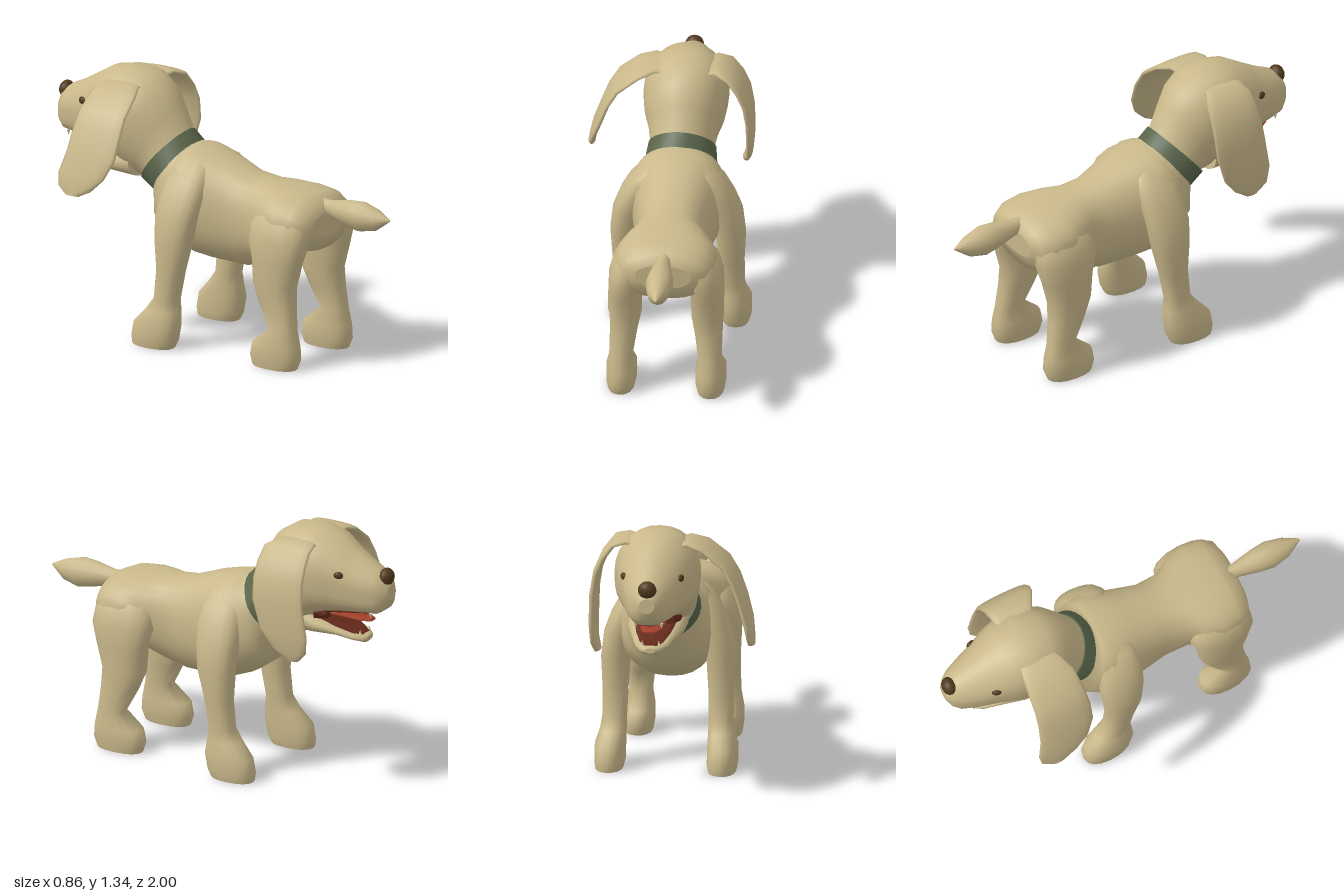
import * as THREE from 'three';

const MID = 0.065; // x of the body's mirror plane
const mat = (name, color) => Object.assign(new THREE.MeshStandardMaterial({ color }), { name });
const V = (x, y, z) => new THREE.Vector3(x, y, z);

// Skin over rounded rings {c, u, v, top, bottom}; the rings advance along u x v.
// top and bottom are the roundness powers of the two halves (2 = ellipse, more = boxier)
function loft(rings, sides = 20) {
  const pos = [], idx = [];
  const pow = (t, n) => Math.sign(t) * Math.pow(Math.abs(t), 2 / n);
  const addRing = ({ c, u, v, top = 2.3, bottom = top }) => {
    for (let i = 0; i < sides; i++) {
      const a = i / sides * Math.PI * 2, n = i * 2 < sides ? top : bottom;
      const p = c.clone().addScaledVector(u, pow(Math.cos(a), n)).addScaledVector(v, pow(Math.sin(a), n));
      pos.push(p.x, p.y, p.z);
    }
  };
  rings.forEach(addRing);
  for (let r = 0; r < rings.length - 1; r++) {
    for (let i = 0; i < sides; i++) {
      const a = r * sides + i, b = r * sides + (i + 1) % sides;
      idx.push(a, b, b + sides, a, b + sides, a + sides);
    }
  }
  // flat end caps
  [rings[0], rings[rings.length - 1]].forEach((ring, end) => {
    const s = pos.length / 3;
    addRing(ring);
    pos.push(ring.c.x, ring.c.y, ring.c.z);
    for (let i = 0; i < sides; i++) {
      const a = s + i, b = s + (i + 1) % sides;
      if (end) idx.push(a, b, s + sides); else idx.push(b, a, s + sides);
    }
  });
  const g = new THREE.BufferGeometry();
  g.setAttribute('position', new THREE.Float32BufferAttribute(pos, 3));
  g.setIndex(idx);
  g.computeVertexNormals();
  return g;
}

// Rings along -z: [zTop, yTop, zBottom, yBottom, halfWidth, topPower, bottomPower]
const spine = rows => rows.map(([zt, yt, zb, yb, w, top, bottom]) => ({
  c: V(MID, (yt + yb) / 2, (zt + zb) / 2),
  u: V(-w, 0, 0),
  v: V(0, (yt - yb) / 2, (zt - zb) / 2),
  top, bottom,
}));

// Level rings going up: [y, zBack, zFront, xInner, xOuter]
const limb = (rows, s) => rows.map(([y, zb, zf, xi, xo]) => ({
  c: V(MID + s * (xi + xo) / 2, y, (zb + zf) / 2),
  u: V(0, 0, (zb - zf) / 2),
  v: V((xo - xi) / 2, 0, 0),
}));

// Thin flap along a path: [x, y, zBack, zFront]
const flap = (rows, half) => rows.map(([x, y, zb, zf], i) => {
  const a = rows[Math.max(i - 1, 0)], b = rows[Math.min(i + 1, rows.length - 1)];
  const t = V(b[0] - a[0], b[1] - a[1], 0).normalize();
  return { c: V(x, y, (zb + zf) / 2), u: V(0, 0, (zb - zf) / 2), v: V(t.y, -t.x, 0).multiplyScalar(half) };
});

export function createModel() {
  const group = new THREE.Group();
  group.name = 'dog';
  const fur = mat('fur', 0xc9b88a), green = mat('collarGreen', 0x59654a);
  const brown = mat('darkBrown', 0x50391d), red = mat('tongueRed', 0xa0402b);
  const dark = mat('mouthRed', 0x65281b), cream = mat('toothCream', 0xd8cfb0);
  const add = (name, geo, m) => {
    const mesh = new THREE.Mesh(geo, m);
    mesh.name = name;
    group.add(mesh);
    return mesh;
  };

  // Trunk, neck, skull and upper muzzle in one skin
  add('bodyAndHead', loft(spine([
    [0.637, 0.79, 0.632, 0.66, 0.14], [0.615, 0.84, 0.61, 0.59, 0.215],
    [0.55, 0.87, 0.55, 0.575, 0.25], [0.45, 0.882, 0.46, 0.56, 0.26],
    [0.36, 0.89, 0.37, 0.51, 0.235], [0.28, 0.895, 0.29, 0.46, 0.185],
    [0.165, 0.91, 0.165, 0.42, 0.18, 2.3, 2], [0.02, 0.965, -0.01, 0.43, 0.212],
    [-0.06, 0.985, -0.11, 0.445, 0.24], [-0.12, 0.997, -0.22, 0.49, 0.25],
    [-0.16, 1.0, -0.345, 0.58, 0.215],
    [-0.18, 1.0, -0.385, 0.73, 0.172, 1.9], [-0.23, 1.05, -0.455, 0.775, 0.16, 1.9],
    [-0.29, 1.17, -0.50, 0.785, 0.175, 2], [-0.35, 1.26, -0.55, 0.81, 0.20, 2.1],
    [-0.44, 1.32, -0.60, 0.86, 0.213, 2.2], [-0.56, 1.335, -0.645, 0.90, 0.212, 2.2, 2.6],
    [-0.67, 1.315, -0.70, 0.918, 0.188, 2, 3], [-0.77, 1.255, -0.78, 0.93, 0.155, 1.8, 3.2],
    [-0.85, 1.208, -0.86, 0.935, 0.13, 1.8, 3.2], [-0.925, 1.172, -0.94, 0.94, 0.10, 1.9, 3],
    [-0.965, 1.14, -0.975, 0.965, 0.072, 2, 2.6], [-0.992, 1.09, -0.995, 1.015, 0.04, 2],
  ]), 28), fur);

  add('lowerJaw', loft(spine([
    [-0.50, 0.95, -0.48, 0.775, 0.15], [-0.62, 0.895, -0.60, 0.785, 0.145],
    [-0.72, 0.85, -0.72, 0.79, 0.11], [-0.80, 0.82, -0.81, 0.775, 0.082],
    [-0.85, 0.81, -0.855, 0.765, 0.05], [-0.865, 0.80, -0.867, 0.775, 0.025],
  ])), fur);

  // Mouth lining and tongue
  add('palate', loft(spine([
    [-0.62, 0.94, -0.62, 0.90, 0.12], [-0.72, 0.945, -0.72, 0.914, 0.105],
    [-0.84, 0.955, -0.84, 0.927, 0.078], [-0.93, 0.96, -0.93, 0.934, 0.05],
  ])), dark);
  add('jawLining', loft(spine([
    [-0.60, 0.912, -0.60, 0.88, 0.115], [-0.72, 0.856, -0.72, 0.835, 0.088],
    [-0.80, 0.826, -0.80, 0.808, 0.06], [-0.845, 0.816, -0.845, 0.80, 0.03],
  ])), dark);
  add('mouthBack', loft(spine([
    [-0.62, 0.95, -0.61, 0.85, 0.13], [-0.67, 0.94, -0.67, 0.86, 0.10],
  ])), dark);
  add('tongue', loft(spine([
    [-0.64, 0.912, -0.64, 0.88, 0.065], [-0.74, 0.907, -0.74, 0.882, 0.062],
    [-0.84, 0.897, -0.84, 0.878, 0.05], [-0.885, 0.892, -0.885, 0.88, 0.025],
  ]), 12), red);

  add('collar', loft(spine([
    [-0.167, 0.995, -0.385, 0.715, 0.182, 1.9], [-0.224, 1.056, -0.468, 0.762, 0.170, 1.9],
  ]), 28), green);

  // Tail, from tip to root
  add('tail', loft(spine([
    [1.0, 0.805, 1.0, 0.795, 0.005, 2], [0.92, 0.845, 0.92, 0.735, 0.05, 2],
    [0.83, 0.87, 0.83, 0.715, 0.07, 2], [0.75, 0.865, 0.75, 0.73, 0.06, 2],
    [0.64, 0.845, 0.64, 0.76, 0.037, 2], [0.56, 0.85, 0.56, 0.75, 0.037, 2],
  ]), 12), fur);

  // Ears: the right one swings further out
  const earZ = [[-0.45, -0.62], [-0.42, -0.64], [-0.385, -0.65], [-0.375, -0.655], [-0.37, -0.66],
    [-0.375, -0.67], [-0.42, -0.695], [-0.49, -0.685], [-0.56, -0.635]];
  const ears = {
    leftEar: [[0.15, 1.26], [0.22, 1.277], [0.285, 1.257], [0.335, 1.19], [0.37, 1.11],
      [0.387, 1.0], [0.387, 0.85], [0.378, 0.76], [0.36, 0.71]],
    rightEar: [[-0.02, 1.26], [-0.09, 1.273], [-0.17, 1.245], [-0.27, 1.165], [-0.32, 1.08],
      [-0.36, 0.97], [-0.393, 0.87], [-0.407, 0.80], [-0.413, 0.765]],
  };
  for (const [name, path] of Object.entries(ears)) {
    add(name, loft(flap(path.map((p, i) => [...p, ...earZ[i]]), 0.018), 14), fur);
  }

  // Leg tops sink into the trunk
  const frontLeg = [
    [0, -0.12, -0.355, 0.215, 0.352], [0.04, -0.10, -0.36, 0.205, 0.36],
    [0.12, -0.085, -0.345, 0.205, 0.36], [0.19, -0.09, -0.28, 0.205, 0.338],
    [0.25, -0.10, -0.235, 0.205, 0.33], [0.40, -0.07, -0.22, 0.20, 0.332],
    [0.55, -0.03, -0.23, 0.19, 0.34], [0.68, -0.01, -0.24, 0.17, 0.325],
    [0.78, 0.005, -0.235, 0.13, 0.288], [0.86, 0.005, -0.225, 0.09, 0.245],
    [0.92, -0.01, -0.20, 0.06, 0.19], [0.96, -0.06, -0.16, 0.04, 0.13],
  ];
  const rearLeg = [
    [0, 0.585, 0.335, 0.157, 0.292], [0.05, 0.605, 0.32, 0.147, 0.3],
    [0.12, 0.60, 0.335, 0.147, 0.3], [0.20, 0.583, 0.435, 0.163, 0.282],
    [0.32, 0.57, 0.37, 0.145, 0.282], [0.42, 0.565, 0.33, 0.125, 0.286],
    [0.55, 0.60, 0.32, 0.12, 0.29], [0.65, 0.63, 0.29, 0.10, 0.288],
    [0.73, 0.622, 0.30, 0.08, 0.268], [0.79, 0.60, 0.33, 0.06, 0.23], [0.83, 0.55, 0.39, 0.05, 0.17],
  ];
  const ball = new THREE.SphereGeometry(1, 14, 10);
  for (const [side, s] of [['left', 1], ['right', -1]]) {
    add(side + 'FrontLeg', loft(limb(frontLeg, s), 16), fur);
    add(side + 'RearLeg', loft(limb(rearLeg, s), 16), fur);

    const eye = add(side + 'Eye', ball, brown);
    eye.position.set(MID + s * 0.144, 1.143, -0.77);
    eye.rotation.y = s * 0.35;
    eye.scale.set(0.014, 0.019, 0.025);

    // Canine teeth
    const upper = add(side + 'UpperTooth', new THREE.ConeGeometry(0.01, 0.03, 6), cream);
    upper.position.set(MID + s * 0.065, 0.93, -0.91);
    upper.rotation.x = Math.PI;
    const lower = add(side + 'LowerTooth', new THREE.ConeGeometry(0.008, 0.025, 6), cream);
    lower.position.set(MID + s * 0.042, 0.823, -0.835);
  }

  const nose = add('nose', ball, brown);
  nose.position.set(MID, 1.13, -0.965);
  nose.scale.set(0.047, 0.046, 0.037);
  return group;
}
